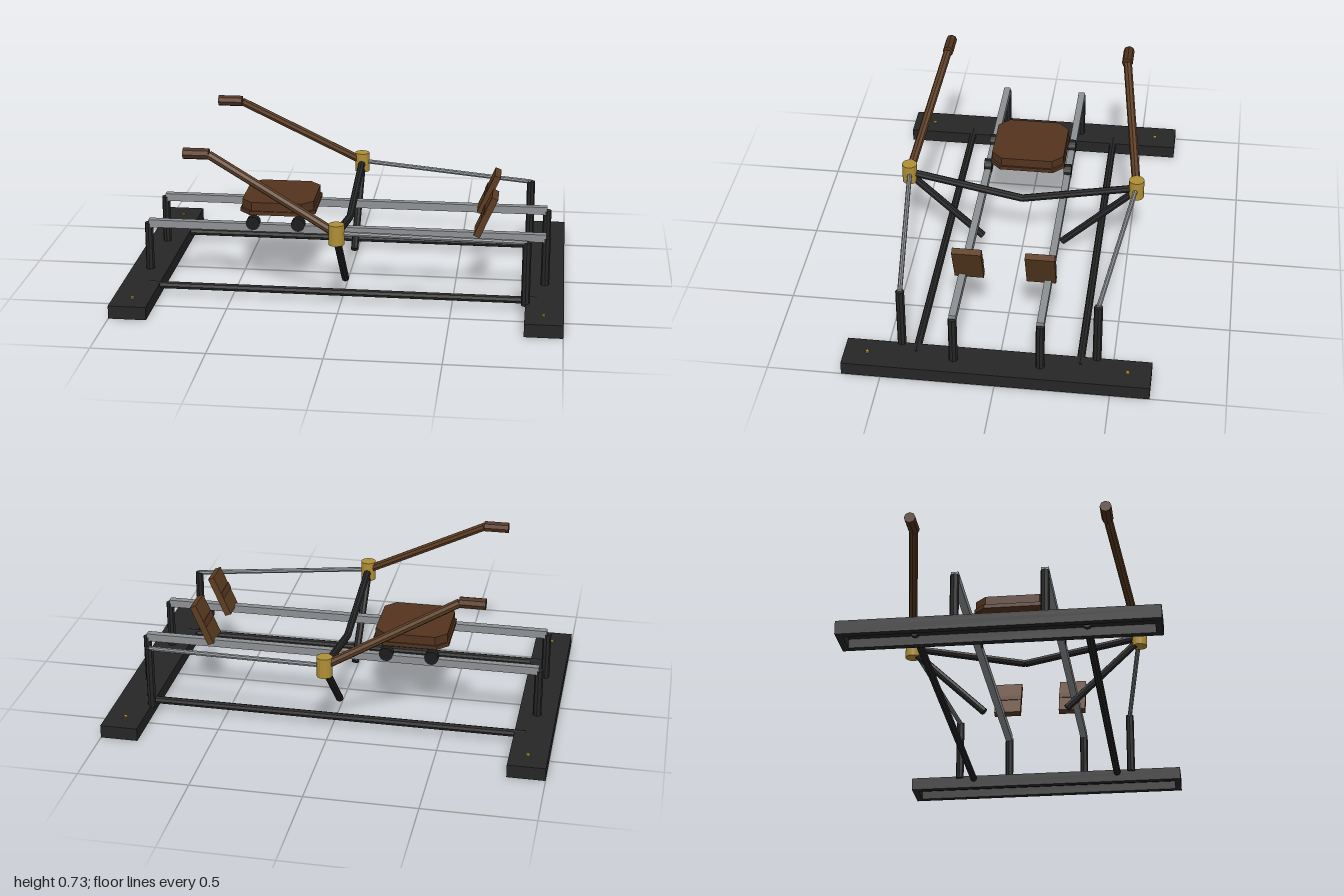
import * as THREE from 'three';

const mat = (color) => new THREE.MeshStandardMaterial({ color, flatShading: true });
const dark = mat(0x262626), black = mat(0x1c1c1c), steel = mat(0x8e9194);
const wood = mat(0x5c3c22), leather = mat(0x53331f), brass = mat(0xb08f36);

export function createModel() {
  const root = new THREE.Group();

  const add = (name, geo, material, x = 0, y = 0, z = 0) => {
    const m = new THREE.Mesh(geo, material);
    m.name = name;
    m.position.set(x, y, z);
    root.add(m);
    return m;
  };
  const box = (name, material, w, h, d, x, y, z) =>
    add(name, new THREE.BoxGeometry(w, h, d), material, x, y, z);
  // Round bar between two points
  const bar = (name, material, a, b, r, sides = 8) => {
    const p = new THREE.Vector3(...a), q = new THREE.Vector3(...b);
    const dir = q.clone().sub(p);
    const m = add(name, new THREE.CylinderGeometry(r, r, dir.length(), sides), material);
    m.position.copy(p).add(q).multiplyScalar(0.5);
    m.quaternion.setFromUnitVectors(new THREE.Vector3(0, 1, 0), dir.normalize());
    return m;
  };
  // Horizontal slab with cut corners
  const cutSlab = (name, hx, hz, cut, y0, y1, x) => {
    const s = new THREE.Shape([
      [-hx + cut, -hz], [hx - cut, -hz], [hx, -hz + cut], [hx, hz - cut],
      [hx - cut, hz], [-hx + cut, hz], [-hx, hz - cut], [-hx, -hz + cut],
    ].map(([u, v]) => new THREE.Vector2(u, v)));
    const g = new THREE.ExtrudeGeometry(s, { depth: y1 - y0, bevelEnabled: false });
    g.rotateX(-Math.PI / 2);
    return add(name, g, leather, x, y0, 0);
  };

  // Cross feet: hollow underneath, with bolts on top
  for (const sx of [-1, 1]) {
    const x = sx * 0.915;
    box('footTop', dark, 0.17, 0.02, 1.344, x, 0.05, 0);
    for (const s of [-1, 1]) {
      box('footSide', dark, 0.03, 0.04, 1.344, x + s * 0.07, 0.02, 0);
      box('footEnd', dark, 0.11, 0.04, 0.03, x, 0.02, s * 0.657);
      add('bolt', new THREE.CylinderGeometry(0.009, 0.009, 0.012, 8), brass, sx * 0.912, 0.061, s * 0.57);
    }
  }

  for (const s of [-1, 1]) {
    // Frame tubes, slide rails and their posts
    bar('sideTube', dark, [-0.88, 0.047, s * 0.36], [0.88, 0.047, s * 0.36], 0.0175);
    box('slideRail', steel, 1.825, 0.036, 0.032, 0, 0.285, s * 0.19);
    for (const sx of [-1, 1])
      bar('railPost', dark, [sx * 0.913, 0.05, s * 0.19], [sx * 0.913, 0.285, s * 0.19], 0.0195);
    bar('strutPost', dark, [0.83, 0.05, s * 0.43], [0.83, 0.347, s * 0.43], 0.0195);

    // Outriggers carrying the oar pivots
    bar('outrigger', dark, [0, 0.283, 0], [0, 0.387, s * 0.53], 0.0175);
    bar('outriggerBrace', dark, [0, 0.05, s * 0.19], [0, 0.375, s * 0.53], 0.0175);
    add('pivot', new THREE.CylinderGeometry(0.035, 0.035, 0.092, 16), brass, 0, 0.387, s * 0.53);

    // Oar arm, grip and resistance rod
    bar('oarArm', wood, [0, 0.39, s * 0.53], [-0.575, 0.7, s * 0.435], 0.02);
    bar('oarGrip', leather, [-0.69, 0.703, s * 0.433], [-0.575, 0.703, s * 0.433], 0.026);
    bar('resistanceRod', steel, [0, 0.39, s * 0.53], [0.83, 0.345, s * 0.43], 0.011);

    // Tilted footplate with strap
    const plate = box('footplate', wood, 0.03, 0.2, 0.13, 0.639, 0.38, s * 0.16);
    plate.rotation.z = -0.41;
    const strap = box('footStrap', leather, 0.008, 0.03, 0.132, 0.639, 0.38, s * 0.16);
    strap.rotation.z = -0.41;
    strap.translateX(-0.014);

    // Seat rollers
    for (const x of [-0.425, -0.217]) {
      const w = add('seatWheel', new THREE.CylinderGeometry(0.032, 0.032, 0.036, 16), black, x, 0.305, s * 0.19);
      w.rotation.x = Math.PI / 2;
    }
  }

  // Sliding seat
  cutSlab('seatBase', 0.174, 0.176, 0.05, 0.335, 0.353, -0.32);
  cutSlab('seatCushion', 0.166, 0.17, 0.05, 0.353, 0.394, -0.32);

  return root;
}
